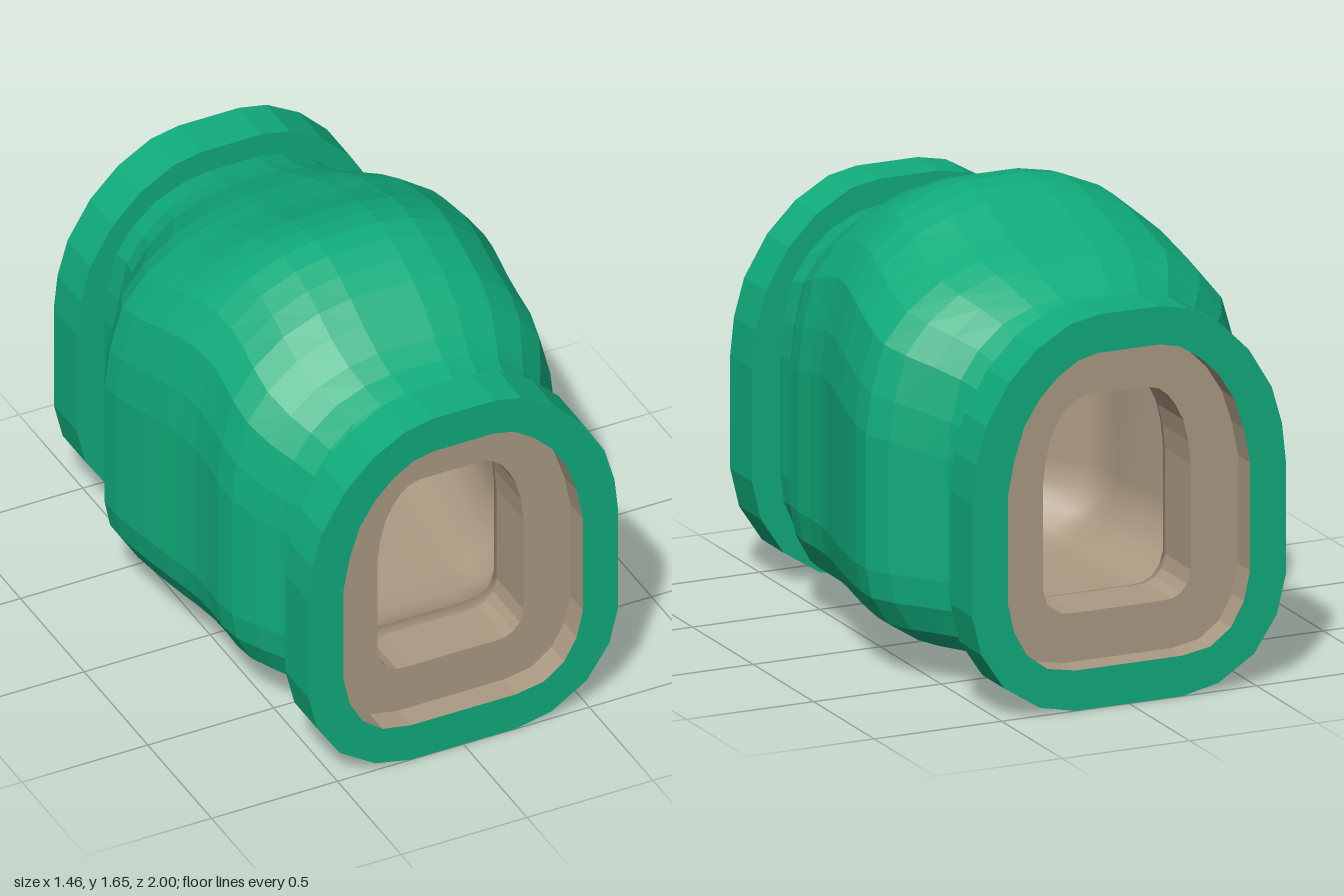
import * as THREE from 'three';

// Half outlines, from top centre clockwise down the +x side
const flangeOuter = [[0.12, 1.457], [0.23, 1.435], [0.36, 1.36], [0.47, 1.25], [0.56, 1.1], [0.6, 0.96],
  [0.615, 0.82], [0.615, 0.4], [0.58, 0.255], [0.49, 0.12], [0.35, 0.03], [0.21, 0]];
const flangeInner = [[0.12, 1.315], [0.2, 1.297], [0.28, 1.245], [0.35, 1.175], [0.41, 1.08], [0.45, 0.96],
  [0.475, 0.83], [0.475, 0.43], [0.45, 0.32], [0.4, 0.23], [0.32, 0.17], [0.21, 0.15]];
const opening = [[0.12, 1.13], [0.165, 1.118], [0.2, 1.09], [0.23, 1.05], [0.26, 0.99], [0.28, 0.91],
  [0.29, 0.82], [0.29, 0.43], [0.275, 0.38], [0.25, 0.35], [0.215, 0.333], [0.17, 0.33]];

// Body outline: upper part scales with width and height, lower part with width only
const SPRING = 0.42;
const bodyUpper = [[0.19, 1], [0.385, 0.98], [0.6, 0.93], [0.78, 0.845], [0.905, 0.745], [0.973, 0.59], [1, 0.455], [1, 0]];
const bodyLower = [[0.97, 0.31], [0.88, 0.205], [0.72, 0.13], [0.52, 0.112]];
// Body stations, front to back: z, half width, top height
const stations = [[0.82, 0.505, 1.365], [0.73, 0.505, 1.388], [0.635, 0.54, 1.412], [0.55, 0.59, 1.45], [0.45, 0.64, 1.515],
  [0.36, 0.652, 1.572], [0.27, 0.648, 1.612], [0.18, 0.651, 1.642], [0.09, 0.665, 1.655], [0, 0.685, 1.645],
  [-0.1, 0.705, 1.62], [-0.19, 0.72, 1.585], [-0.28, 0.732, 1.552], [-0.37, 0.732, 1.525], [-0.46, 0.685, 1.495],
  [-0.55, 0.61, 1.458], [-0.64, 0.54, 1.418], [-0.73, 0.508, 1.388], [-0.82, 0.505, 1.365]];

const bodyHalf = (w, top) => [
  ...bodyUpper.map(([u, t]) => [u * w, SPRING + t * (top - SPRING)]),
  ...bodyLower.map(([u, y]) => [u * w, y])];

// Mirrors a half outline into a closed ring at depth z
function ring(half, z) {
  const right = half.map(([x, y]) => [x, y, z]);
  const left = half.map(([x, y]) => [-x, y, z]).reverse();
  return [...right, ...left];
}

// Skins a row of rings; smooth or faceted
function loft(rings, smooth = false) {
  const n = rings[0].length, index = [];
  for (let i = 0; i < rings.length - 1; i++) {
    for (let j = 0; j < n; j++) {
      const k = (j + 1) % n;
      const a = i * n + j, b = i * n + k, c = a + n, d = b + n;
      index.push(a, b, c, b, d, c);
    }
  }
  let geo = new THREE.BufferGeometry();
  geo.setAttribute('position', new THREE.Float32BufferAttribute(rings.flat(2), 3));
  geo.setIndex(index);
  if (!smooth) geo = geo.toNonIndexed();
  geo.computeVertexNormals();
  return geo;
}

// Same rings at the opposite end, order reversed to keep faces outward
const toBack = rings => rings.map(r => r.map(([x, y, z]) => [x, y, -z])).reverse();

export function createModel() {
  const group = new THREE.Group();
  const green = new THREE.MeshStandardMaterial({ color: 0x10ac7c });
  green.name = 'green shell';
  const tan = new THREE.MeshStandardMaterial({ color: 0xac9a83 });
  tan.name = 'tan lining';
  const add = (name, geo, mat) => {
    const mesh = new THREE.Mesh(geo, mat);
    mesh.name = name;
    group.add(mesh);
  };

  // Bulging outer body
  add('body', loft(stations.map(([z, w, top]) => ring(bodyHalf(w, top), z))), green);

  // End flanges and the recessed tan lips inside them
  const flange = [ring(flangeInner, 1), ring(flangeOuter, 1), ring(flangeOuter, 0.82), ring(bodyHalf(0.5, 1.36), 0.82)];
  const lip = [ring(opening, 0.69), ring(opening, 0.9), ring(flangeInner, 0.9), ring(flangeInner, 1)];
  add('frontFlange', loft(flange), green);
  add('backFlange', loft(toBack(flange)), green);
  add('frontLip', loft(lip), tan);
  add('backLip', loft(toBack(lip)), tan);

  // Hollow interior: swells from the openings toward the body wall
  const inner = [ring(opening, 0.69)];
  for (const [z, w, top] of stations) {
    if (Math.abs(z) > 0.68) continue;
    const s = 0.75 * THREE.MathUtils.smoothstep(0.69 - Math.abs(z), 0, 0.3);
    const wall = bodyHalf(w, top);
    inner.push(ring(opening.map(([x, y], i) => [x + (wall[i][0] - x) * s, y + (wall[i][1] - y) * s]), z));
  }
  inner.push(ring(opening, -0.69));
  add('interior', loft(inner.reverse(), true), tan);

  return group;
}
